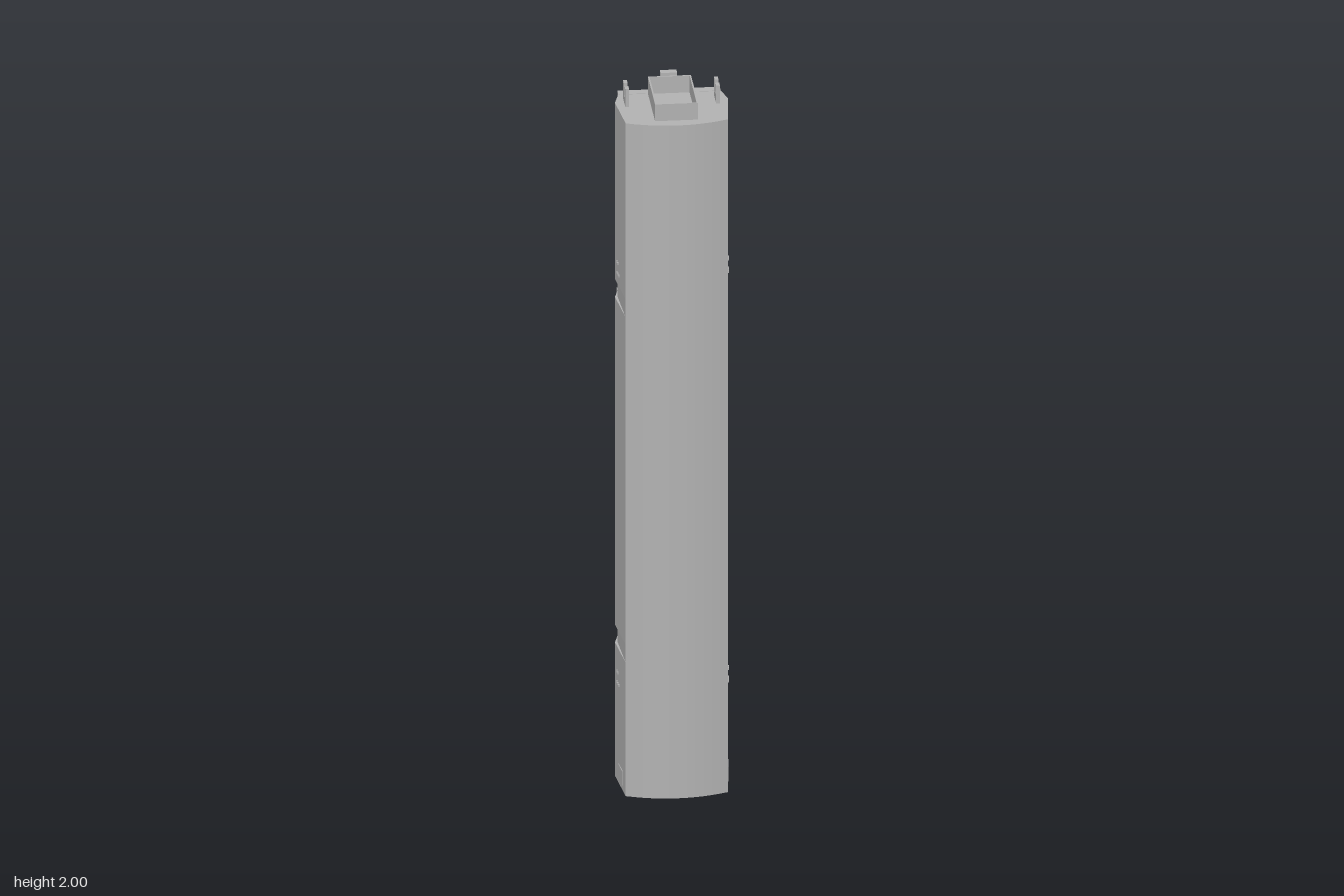
import * as THREE from 'three';

const grey = new THREE.MeshStandardMaterial({ color: 0xb2b2b2 });
grey.name = 'plain grey';

export function createModel() {
  const model = new THREE.Group();
  model.name = 'railCar';

  const add = (name, geometry, parent = model) => {
    const mesh = new THREE.Mesh(geometry, grey);
    mesh.name = name;
    parent.add(mesh);
    return mesh;
  };
  // box given by its extents on each axis
  const box = (name, x0, x1, y0, y1, z0, z1, parent) =>
    add(name, new THREE.BoxGeometry(x1 - x0, y1 - y0, z1 - z0), parent)
      .position.set((x0 + x1) / 2, (y0 + y1) / 2, (z0 + z1) / 2);
  // shape drawn in x and -z, raised along y
  const raise = (name, shape, y0, y1) => {
    const g = new THREE.ExtrudeGeometry(shape, { depth: y1 - y0, bevelEnabled: false });
    add(name, g.rotateX(-Math.PI / 2)).position.y = y0;
  };

  // Body shell: arched roof, bulging sides, flat floor
  const section = (bulge) => {
    const pts = [[-0.133, 0.075], [-bulge, 0.02], [-0.133, -0.117]].map(p => new THREE.Vector2(...p));
    for (let i = 1; i < 12; i++) {
      const t = -1 + i / 6;
      pts.push(new THREE.Vector2(0.133 * t, -0.117 - 0.028 * (1 - t * t)));
    }
    pts.push(...[[0.133, -0.117], [bulge, 0.02], [0.133, 0.075]].map(p => new THREE.Vector2(...p)));
    return new THREE.Shape(pts.reverse());
  };
  [['lowerBody', 0.147, 0.055, 0.43], ['lowerGroove', 0.14, 0.43, 0.48],
    ['middleBody', 0.147, 0.48, 1.4], ['upperGroove', 0.14, 1.4, 1.45],
    ['upperBody', 0.147, 1.45, 1.945]]
    .forEach(([name, bulge, y0, y1]) => raise(name, section(bulge), y0, y1));

  // Equipment boxes under the floor
  box('longUnderfloorBox', 0.07, 0.133, 0.49, 1.385, -0.115, -0.07);
  box('shortUnderfloorBox', -0.133, -0.075, 1.0, 1.385, -0.115, -0.07);
  box('shortUnderfloorBox', -0.133, -0.075, 0.49, 0.94, -0.115, -0.07);

  // Wheel trucks
  for (const y of [0.19, 1.81]) {
    const truck = new THREE.Group();
    truck.name = 'truck';
    truck.position.y = y;
    model.add(truck);
    box('truckPlate', -0.088, 0.096, -0.105, 0.105, -0.13, -0.105, truck);
    box('truckPivot', -0.06, 0.06, -0.03, 0.03, -0.105, -0.07, truck);
    for (const x of [-0.1, 0.1]) {
      box('sideBar', x - 0.006, x + 0.006, -0.08, 0.08, -0.129, -0.104, truck);
      box('sideBracket', x - 0.006, x + 0.006, -0.045, 0.045, -0.115, -0.09, truck);
      box('sideBracketStem', x - 0.005, x + 0.005, -0.025, -0.008, -0.095, -0.07, truck);
      box('sideBracketStem', x - 0.005, x + 0.005, 0.008, 0.025, -0.095, -0.07, truck);
      for (const s of [-1, 1]) {
        const wheel = add('wheel', new THREE.CylinderGeometry(0.029, 0.029, 0.01, 16), truck);
        wheel.rotation.z = Math.PI / 2;
        wheel.position.set(x, s * 0.082, -0.117);
      }
    }
  }

  // Hollow gangway frame on the upper end
  const rect = (Type, x, z0, z1) => new Type(
    [[-x, -z1], [x, -z1], [x, -z0], [-x, -z0]].map(p => new THREE.Vector2(...p)));
  const frame = rect(THREE.Shape, 0.056, -0.074, 0.111);
  frame.holes.push(rect(THREE.Path, 0.052, -0.07, 0.107));
  raise('gangwayFrame', frame, 1.945, 1.992);

  // End beams and couplers
  box('upperEndBeam', -0.133, 0.133, 1.93, 1.946, -0.097, -0.072);
  box('upperCoupler', -0.023, 0.02, 1.93, 2.0, -0.095, -0.075);
  box('lowerEndBeam', -0.133, 0.133, 0.053, 0.065, -0.092, -0.072);
  box('lowerCouplerPlate', -0.035, 0.035, 0.045, 0.056, -0.09, -0.05);
  box('lowerCoupler', -0.013, 0.013, 0, 0.06, -0.093, -0.078);

  for (const s of [-1, 1]) {
    // Two-pronged end brackets
    const x0 = s * 0.118 - 0.005, x1 = s * 0.118 + 0.005;
    box('bracketBase', x0, x1, 1.945, 1.962, -0.05, 0.01);
    box('bracketProng', x0, x1, 1.945, 1.995, -0.05, -0.03);
    box('bracketProng', x0, x1, 1.945, 1.995, -0.009, 0.01);

    // Thin side panel near the lower end, following the wall slope
    const sideX = z => s * (0.147 - (z + 0.02) * 0.102);
    const panel = add('sidePanel', new THREE.BoxGeometry(0.003, 0.04, 0.055));
    panel.position.set(sideX(0.055), 0.09, 0.055);
    panel.rotation.y = -s * 0.102;

    // Small studs on the walls
    for (const y of [0.33, 1.48]) {
      for (let i = 0; i < 5; i++) {
        const z = 0.01 + (i % 3) * 0.013, h = y + (i % 2) * 0.03;
        box('stud', sideX(z) - 0.002, sideX(z) + 0.002, h, h + 0.006, z, z + 0.005);
      }
    }
  }
  return model;
}
